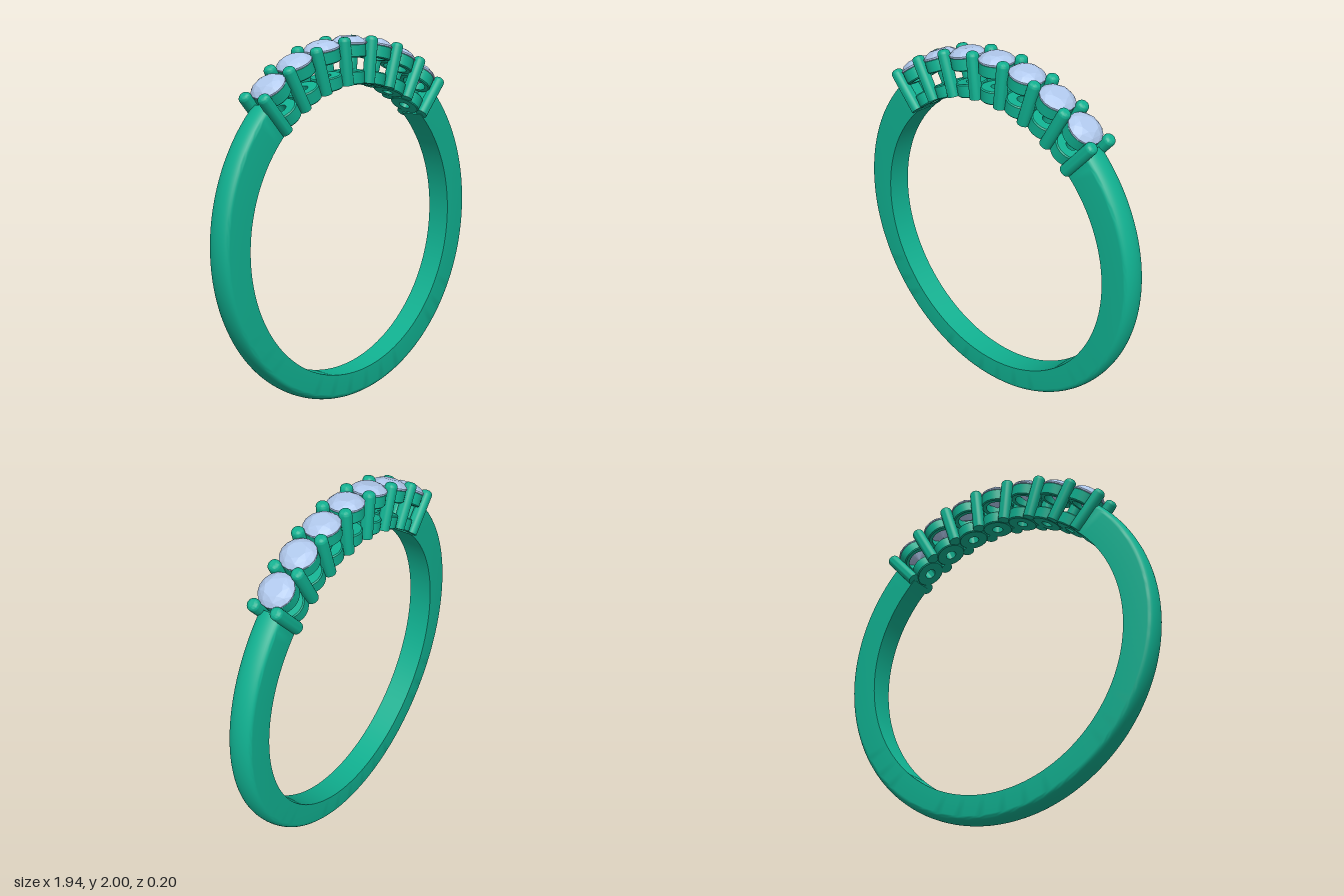
import * as THREE from 'three';
import { toCreasedNormals } from 'three/addons/utils/BufferGeometryUtils.js';
import { ConvexGeometry } from 'three/addons/geometries/ConvexGeometry.js';

const CENTRE_Y = 0.945, INNER_R = 0.8;
const STEP = THREE.MathUtils.degToRad(12);
const metal = new THREE.MeshStandardMaterial({ color: 0x10b090 });
const gem = new THREE.MeshStandardMaterial({ color: 0xb0c8ec, flatShading: true });

// Revolved part from [radius, height] pairs, listed bottom to top on the outside
function revolve(pairs, segments) {
  const points = pairs.map(([r, y]) => new THREE.Vector2(r, y));
  return toCreasedNormals(new THREE.LatheGeometry(points, segments), 0.7);
}

// Washer-shaped ring with lightly rounded outer edges
function washer(inner, outer, bottom, top) {
  const b = 0.006;
  return revolve([
    [inner, bottom], [outer - b, bottom], [outer, bottom + b], [outer, top - b],
    [outer - b, top], [inner, top], [inner, bottom],
  ], 40);
}

// Open band: a crowned section swept round the finger, thicker towards the top
function bandGeometry() {
  const start = 3.5 * STEP, end = 2 * Math.PI - start, steps = 128, arc = 16;
  const halfWidth = 0.068, crown = 0.036, outerR = 0.972, shift = 0.027;
  const n = arc + 3, pos = [], index = [];
  for (let i = 0; i <= steps; i++) {
    const a = start + (end - start) * i / steps, s = Math.sin(a), c = Math.cos(a);
    const outer = shift * c + Math.sqrt(outerR ** 2 - (shift * s) ** 2);
    for (let j = 0; j < n; j++) {
      const u = Math.PI * j / arc;
      let r = INNER_R, z = j === arc + 1 ? halfWidth : -halfWidth;
      if (j <= arc) {
        z = -halfWidth * Math.cos(u);
        r = outer - crown * (1 - Math.max(0, Math.sin(u)) ** 0.9);
      }
      pos.push(r * s, CENTRE_Y + r * c, z);
    }
  }
  for (let i = 0; i < steps; i++) {
    for (let j = 0; j < n; j++) {
      const k = (j + 1) % n, a = i * n + j, b = i * n + k;
      index.push(a, b, a + n, b, b + n, a + n);
    }
  }
  // End faces
  const last = steps * n;
  for (let j = 1; j < n - 1; j++) {
    index.push(0, j + 1, j, last, last + j, last + j + 1);
  }
  const g = new THREE.BufferGeometry();
  g.setAttribute('position', new THREE.Float32BufferAttribute(pos, 3));
  g.setIndex(index);
  return toCreasedNormals(g, 0.7);
}

// Round brilliant stone: table, star points, girdle and culet
function stoneGeometry() {
  const pts = [new THREE.Vector3(0, -0.075, 0)];
  const ring = (count, r, y, offset = 0) => {
    for (let i = 0; i < count; i++) {
      const a = (i + offset) * 2 * Math.PI / count;
      pts.push(new THREE.Vector3(r * Math.cos(a), y, r * Math.sin(a)));
    }
  };
  ring(8, 0.05, 0.036);
  ring(8, 0.077, 0.024, 0.5);
  ring(16, 0.097, 0.004);
  ring(16, 0.097, -0.004);
  return new ConvexGeometry(pts);
}

// Rounded claw standing on the inside of the band
function prongGeometry() {
  const r = 0.034, top = 1.059, fillet = 0.024;
  const pairs = [[0, 0.805], [r, 0.805]];
  for (let i = 0; i <= 6; i++) {
    const a = i * Math.PI / 12;
    pairs.push([r - fillet + fillet * Math.cos(a), top - fillet + fillet * Math.sin(a)]);
  }
  pairs.push([0, top]);
  return revolve(pairs, 24);
}

export function createModel() {
  const model = new THREE.Group();
  model.name = 'ring';

  const add = (parent, name, geometry, material, y = 0, z = 0) => {
    const mesh = new THREE.Mesh(geometry, material);
    mesh.name = name;
    mesh.position.set(0, y, z);
    parent.add(mesh);
  };
  // Group turned about the ring centre, its y axis pointing outwards
  const spoke = (name, angle) => {
    const group = new THREE.Group();
    group.name = name;
    group.position.y = CENTRE_Y;
    group.rotation.z = -angle;
    model.add(group);
    return group;
  };

  add(model, 'band', bandGeometry(), metal);

  // Seven stones, each over an upper seat and a lower base ring
  const stone = stoneGeometry();
  const seat = washer(0.066, 0.094, 0.945, 1.017);
  const base = washer(0.03, 0.085, 0.8, 0.873);
  for (let i = -3; i <= 3; i++) {
    const setting = spoke('setting', i * STEP);
    add(setting, 'stone', stone, gem, 1.019);
    add(setting, 'upperSeat', seat, metal);
    add(setting, 'lowerRing', base, metal);
  }

  // Eight pairs of prongs between and beside the stones
  const prong = prongGeometry();
  for (let i = -3.5; i <= 3.5; i++) {
    const pair = spoke('prongPair', i * STEP);
    add(pair, 'frontProng', prong, metal, 0, 0.068);
    add(pair, 'backProng', prong, metal, 0, -0.068);
  }
  return model;
}
